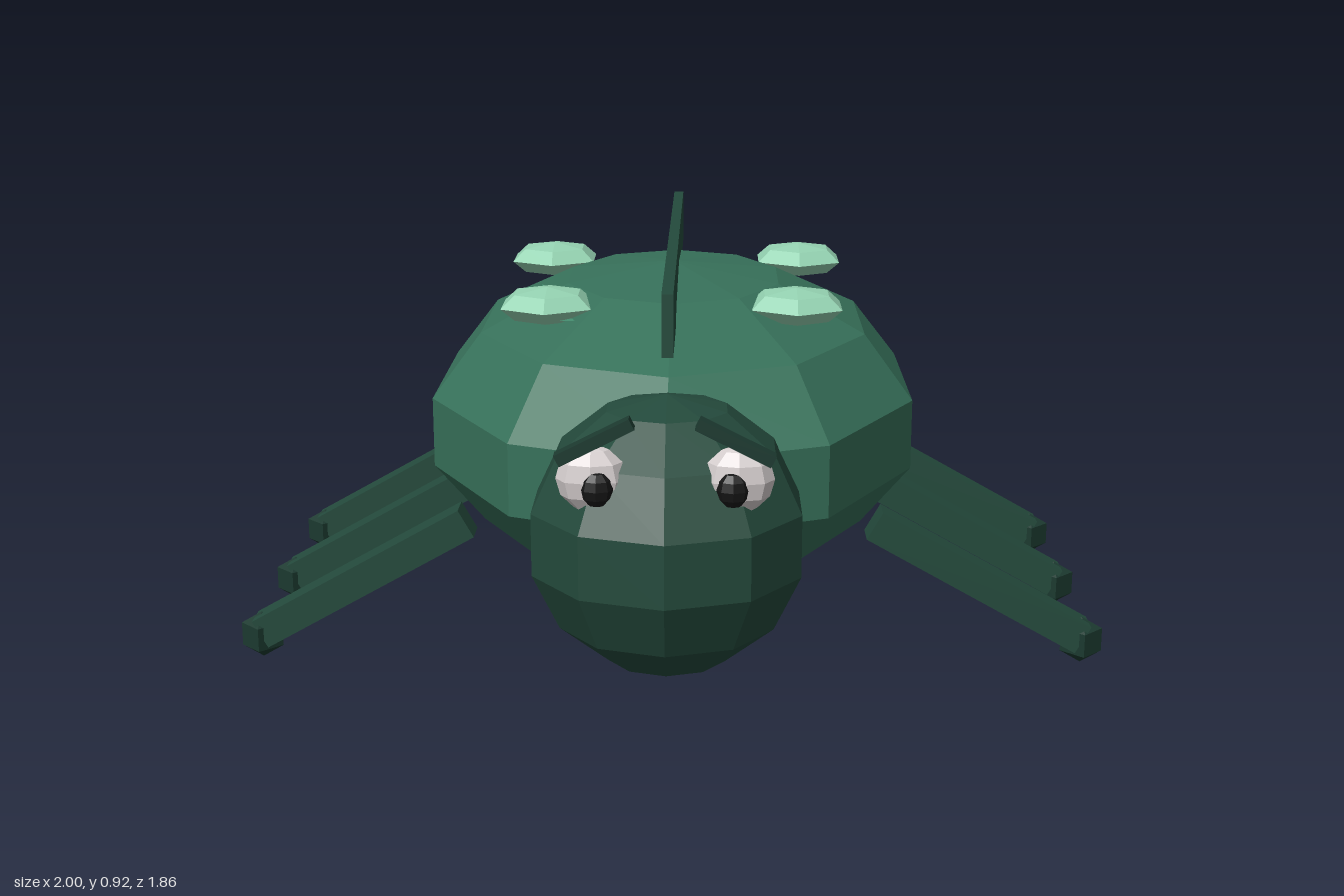
import * as THREE from 'three';

const paint = (color) => new THREE.MeshStandardMaterial({ color, flatShading: true });

export function createModel() {
  const model = new THREE.Group();
  const shell = paint(0x37715a), dark = paint(0x244a3c), mint = paint(0x95d3b2);
  const white = paint(0xd6cfcf), black = paint(0x161616), trim = paint(0x1c3a30);

  const add = (name, geometry, material, x, y, z) => {
    const mesh = new THREE.Mesh(geometry, material);
    mesh.name = name;
    mesh.position.set(x, y, z);
    model.add(mesh);
    return mesh;
  };
  // Faceted ellipsoid with a corner pointing along z
  const ball = (rx, ry, rz, around, rings) =>
    new THREE.SphereGeometry(1, around, rings).rotateY(Math.PI / 2).scale(rx, ry, rz);

  // Body, head and ridge along the back
  add('body', ball(0.61, 0.37, 0.82, 10, 7), shell, 0, 0.49, -0.13);
  add('head', ball(0.305, 0.305, 0.305, 10, 7), dark, 0, 0.41, 0.63);
  add('backRidge', new THREE.BoxGeometry(0.025, 0.135, 1.47), dark, 0, 0.853, -0.13);

  // Spots
  const spotGeometry = ball(0.12, 0.042, 0.12, 6, 4);
  for (const [x, z] of [[-0.317, -0.475], [0.317, -0.475], [-0.288, 0.137], [0.288, 0.137]]) {
    add('spot', spotGeometry, mint, x, 0.803, z);
  }

  // Thin flake lying under the front right-hand spot
  const flake = new THREE.BufferGeometry().setFromPoints([
    new THREE.Vector3(-0.32, 0.805, -0.1),
    new THREE.Vector3(-0.32, 0.775, 0.2),
    new THREE.Vector3(-0.13, 0.79, 0.24),
  ]);
  flake.computeVertexNormals();
  const flakePaint = paint(0x448c6e);
  flakePaint.side = THREE.DoubleSide;
  add('flake', flake, flakePaint, 0, 0, 0);

  // Legs and feet
  const top = new THREE.Vector2(0.465, 0.338), end = new THREE.Vector2(0.95, 0.066);
  const slope = end.clone().sub(top);
  const legGeometry = new THREE.BoxGeometry(slope.length(), 0.072, 0.074);
  const footGeometry = ball(0.055, 0.055, 0.055, 4, 3);

  for (const side of [-1, 1]) {
    for (const z of [0.32, -0.075, -0.475]) {
      const leg = add('leg', legGeometry, dark, side * (top.x + end.x) / 2, (top.y + end.y) / 2, z);
      leg.rotation.z = side * slope.angle();
      add('foot', footGeometry, trim, side * 0.952, 0.055, z);
    }
    // Eye, pupil and slanted brow
    add('eye', ball(0.073, 0.07, 0.047, 8, 6), white, side * 0.149, 0.585, 0.818);
    add('pupil', ball(0.034, 0.038, 0.03, 8, 6), black, side * 0.137, 0.572, 0.85);
    const brow = add('brow', new THREE.BoxGeometry(0.17, 0.025, 0.035), trim, side * 0.142, 0.667, 0.833);
    brow.rotation.z = -side * 0.47;
  }
  return model;
}
